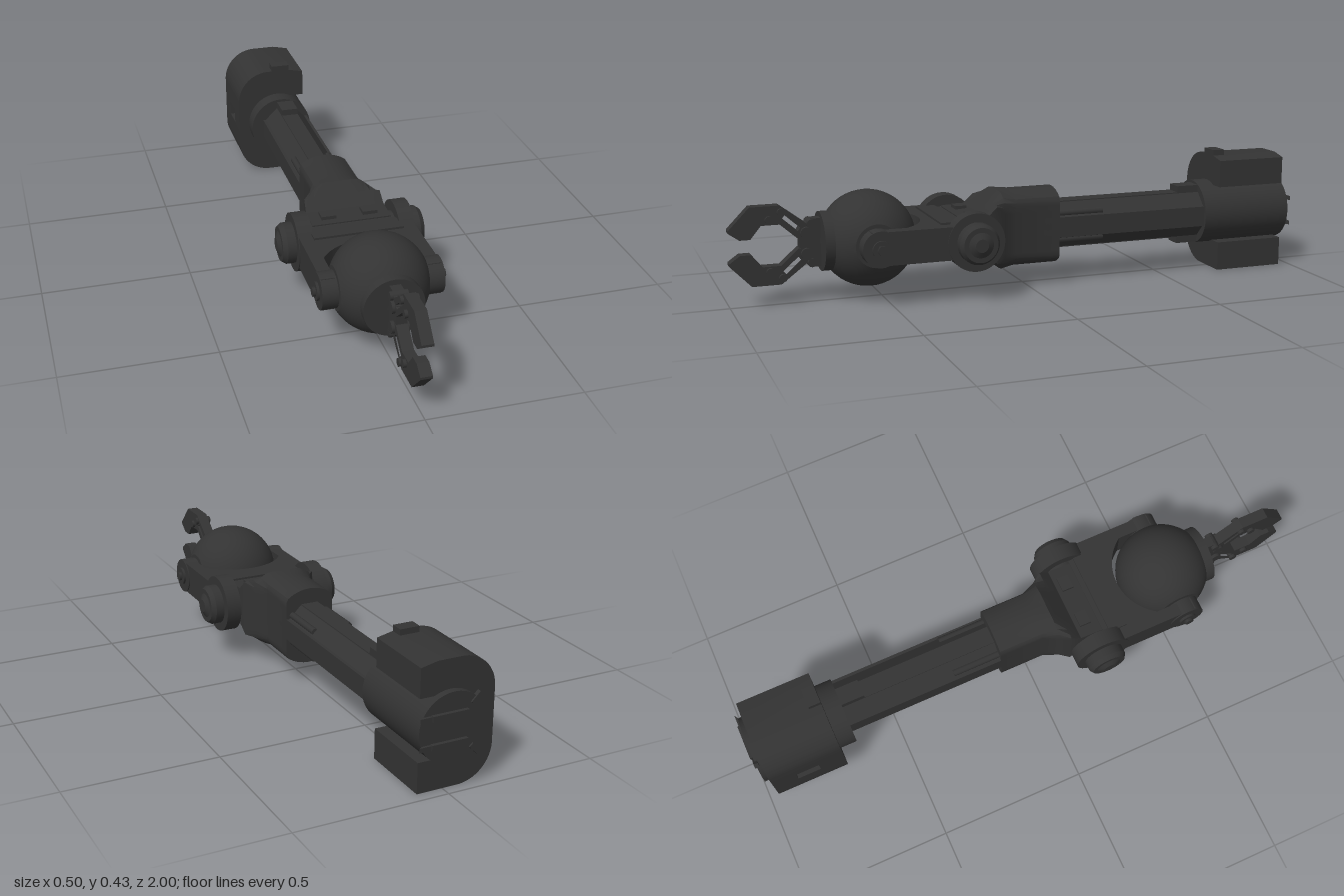
import * as THREE from 'three';
import { toCreasedNormals } from 'three/addons/utils/BufferGeometryUtils.js';

const CY = 0.2; // height of the arm's axis

export function createModel() {
  const model = new THREE.Group();
  const metal = new THREE.MeshStandardMaterial({ color: 0x333333 });
  metal.name = 'dark metal';

  const add = (name, geo, x = 0, y = 0, z = 0) => {
    const mesh = new THREE.Mesh(geo, metal);
    mesh.name = name;
    mesh.position.set(x, y, z);
    model.add(mesh);
    return mesh;
  };
  const box = (name, x0, x1, y0, y1, z0, z1) =>
    add(name, new THREE.BoxGeometry(x1 - x0, y1 - y0, z1 - z0), (x0 + x1) / 2, (y0 + y1) / 2, (z0 + z1) / 2);
  const cylZ = (name, r, z0, z1, x = 0, sides = 40) =>
    add(name, new THREE.CylinderGeometry(r, r, z1 - z0, sides).rotateX(Math.PI / 2), x, CY, (z0 + z1) / 2);
  const cylX = (name, r, x0, x1, y, z, sides = 32, rOut = r) =>
    add(name, new THREE.CylinderGeometry(r, rOut, Math.abs(x1 - x0), sides).rotateZ(x1 > x0 ? Math.PI / 2 : -Math.PI / 2), (x0 + x1) / 2, y, z);
  const shapeOf = (pts) => new THREE.Shape(pts.map(([a, b]) => new THREE.Vector2(a, b)));
  const extrude = (shape, depth) =>
    new THREE.ExtrudeGeometry(shape, { depth, bevelEnabled: false, curveSegments: 20 });

  // Shoulder housing: round on the right side, open on the left
  const h = new THREE.Shape();
  h.moveTo(0.085, 0);
  h.lineTo(0.085, 0.1);
  h.lineTo(0, 0.1);
  h.lineTo(0, 0.3);
  h.lineTo(0.085, 0.3);
  h.lineTo(0.085, 0.394);
  h.lineTo(0.03, 0.406);
  h.lineTo(-0.05, 0.406);
  h.absarc(-0.05, 0.291, 0.115, Math.PI / 2, Math.PI, false);
  h.lineTo(-0.165, 0.225);
  h.lineTo(-0.145, 0.225);
  h.lineTo(-0.145, 0.175);
  h.lineTo(-0.165, 0.175);
  h.lineTo(-0.165, 0.115);
  h.absarc(-0.05, 0.115, 0.115, Math.PI, Math.PI * 1.5, false);
  add('shoulderHousing', toCreasedNormals(extrude(h, 0.25), 0.5), 0, 0, -0.963);
  box('housingSlotEnd', -0.165, -0.145, 0.175, 0.225, -0.963, -0.88);
  box('housingSlotEnd', -0.165, -0.145, 0.175, 0.225, -0.8, -0.713);
  cylZ('shoulderDrum', 0.113, -0.985, -0.655, -0.015);
  box('housingTab', -0.034, 0.032, 0.38, 0.425, -0.755, -0.713);
  for (const s of [-1, 1]) {
    box('rearBar', -0.06, 0.06, CY + s * 0.045 - 0.009, CY + s * 0.045 + 0.009, -0.997, -0.98);
    const wedge = shapeOf([[0.03, -0.95], [0.1, -0.993], [0.03, -0.993]]);
    add('rearFin', extrude(wedge, 0.014).rotateX(Math.PI / 2), 0, CY + s * 0.045 + 0.007, 0);
    const latch = box('rearLatch', -0.02, 0.02, -0.008, 0.008, -0.99, -0.975);
    latch.position.set(-0.09, CY + s * 0.08, -0.983);
    latch.rotation.z = -s * 0.8;
  }

  // Upper arm: eight-sided beam with ribs
  const beam = add('armBeam', new THREE.CylinderGeometry(0.084, 0.084, 0.66, 8, 1, false, Math.PI / 8)
    .toNonIndexed().rotateX(Math.PI / 2), 0, CY, -0.36);
  beam.geometry.computeVertexNormals();
  for (const s of [-1, 1]) {
    box('beamTopRib', -0.03, 0.03, CY + s * 0.075 - 0.006, CY + s * 0.075 + 0.006, -0.66, -0.05);
    box('beamSideRib', s * 0.078 - 0.007, s * 0.078 + 0.007, 0.165, 0.235, -0.66, -0.05);
    box('beamCollarKey', -0.03, 0.03, CY + s * 0.085 - 0.018, CY + s * 0.085 + 0.018, -0.655, -0.575);
    for (const t of [-1, 1]) {
      const rod = new THREE.CylinderGeometry(0.012, 0.012, 0.2, 10).rotateX(Math.PI / 2);
      add('beamRod', rod, s * 0.062, CY + t * 0.046, -0.17);
    }
  }

  // Sleeve: lofted from the round back end to the flat elbow block
  // each section: z, radius, half width, half height
  const sections = [
    [-0.105, 0.133, 0.085, 0.133], [0.05, 0.133, 0.085, 0.133], [0.1, 0.145, 0.108, 0.133],
    [0.135, 0.165, 0.13, 0.1], [0.17, 0.17, 0.133, 0.065], [0.25, 0.17, 0.133, 0.06],
  ];
  const N = 40, pos = [], idx = [];
  for (const [z, r, w, hh] of sections) {
    for (let i = 0; i < N; i++) {
      const a = (i / N) * Math.PI * 2;
      pos.push(THREE.MathUtils.clamp(r * Math.cos(a), -w, w), CY + THREE.MathUtils.clamp(r * Math.sin(a), -hh, hh), z);
    }
  }
  for (let k = 0; k < sections.length - 1; k++) {
    for (let i = 0; i < N; i++) {
      const j = (i + 1) % N, a = k * N + i, b = k * N + j;
      idx.push(a, b, b + N, a, b + N, a + N);
    }
  }
  const last = (sections.length - 1) * N;
  for (let i = 1; i < N - 1; i++) idx.push(0, i + 1, i, last, last + i, last + i + 1);
  const sleeve = new THREE.BufferGeometry();
  sleeve.setAttribute('position', new THREE.Float32BufferAttribute(pos, 3));
  sleeve.setIndex(idx);
  add('elbowSleeve', toCreasedNormals(sleeve, 0.5));
  for (const s of [-1, 1]) for (const t of [-1, 1])
    box('elbowClip', s * 0.07 - 0.025, s * 0.07 + 0.025, CY + t * 0.065 - 0.008, CY + t * 0.065 + 0.008, 0.185, 0.225);

  // Elbow drums and wrist pivots, mirrored
  cylX('elbowAxle', 0.06, -0.16, 0.16, CY, 0.228);
  for (const s of [-1, 1]) {
    cylX('elbowDrum', 0.097, s * 0.145, s * 0.196, 0.198, 0.228, 40);
    cylX('elbowHub', 0.068, s * 0.196, s * 0.225, 0.198, 0.228, 40);
    cylX('elbowHubRim', 0.068, s * 0.225, s * 0.24, 0.198, 0.228, 40, 0.058);
    cylX('elbowCap', 0.042, s * 0.24, s * 0.25, 0.198, 0.228, 32, 0.022);
    cylX('wristPivot', 0.06, s * 0.145, s * 0.197, 0.2, 0.547);
    cylX('wristWasher', 0.03, s * 0.197, s * 0.205, 0.2, 0.547, 24);
    cylX('wristNut', 0.016, s * 0.205, s * 0.215, 0.2, 0.547, 6);
  }

  // Yoke: fork with a hollow curved around the ball
  const y = new THREE.Shape();
  const hollow = Math.acos(0.15 / 0.18);
  y.moveTo(-0.193, 0.25);
  y.lineTo(0.193, 0.25);
  y.lineTo(0.193, 0.575);
  y.lineTo(0.15, 0.575);
  y.absarc(0, 0.55, 0.18, -hollow, -Math.PI + hollow, true);
  y.lineTo(-0.15, 0.575);
  y.lineTo(-0.193, 0.575);
  add('wristYoke', extrude(y, 0.11).rotateX(Math.PI / 2), 0, 0.255, 0);
  box('yokeBar', -0.15, 0.15, 0.14, 0.262, 0.27, 0.335);

  // Wrist ball with flat cheeks
  const ballPts = [new THREE.Vector2(0, -0.143)];
  const cheek = Math.asin(0.143 / 0.16);
  for (let i = 0; i <= 24; i++) {
    const a = -cheek + (2 * cheek * i) / 24;
    ballPts.push(new THREE.Vector2(0.16 * Math.cos(a), 0.16 * Math.sin(a)));
  }
  ballPts.push(new THREE.Vector2(0, 0.143));
  add('wristBall', toCreasedNormals(new THREE.LatheGeometry(ballPts, 48).rotateZ(Math.PI / 2), 0.5), 0, CY, 0.545);
  cylZ('gripperCollar', 0.098, 0.62, 0.703);

  // Gripper: base block and two mirrored jaws, profiles in z and height from the axis
  const sideProfile = (name, pts, width, s, hole) => {
    const flip = ([z, v]) => [z, CY + s * v];
    const shape = shapeOf(pts.map(flip));
    if (hole) shape.holes.push(new THREE.Path(hole.map((p) => new THREE.Vector2(...flip(p)))));
    add(name, extrude(shape, width).rotateY(-Math.PI / 2), width / 2, 0, 0);
  };
  sideProfile('gripperBase', [[0.69, -0.08], [0.735, -0.08], [0.772, -0.05], [0.772, 0.05], [0.735, 0.08], [0.69, 0.08]], 0.036, 1);
  for (const s of [-1, 1]) {
    sideProfile('jaw', [
      [1, 0.058], [0.93, 0.13], [0.835, 0.13], [0.745, 0.062], [0.745, 0.015], [0.775, 0.015],
      [0.835, 0.068], [0.895, 0.068], [0.93, 0.025], [0.965, 0.025], [1, 0.05],
    ], 0.038, s, [[0.768, 0.052], [0.778, 0.042], [0.828, 0.087], [0.818, 0.097]]);
    for (const [z, v, r] of [[0.75, 0.035, 0.02], [0.735, 0.065, 0.014], [0.83, 0.108, 0.013], [0.87, 0.085, 0.013]])
      cylX('jawBolt', r, -0.029, 0.029, CY + s * v, z, 16);
  }
  return model;
}
